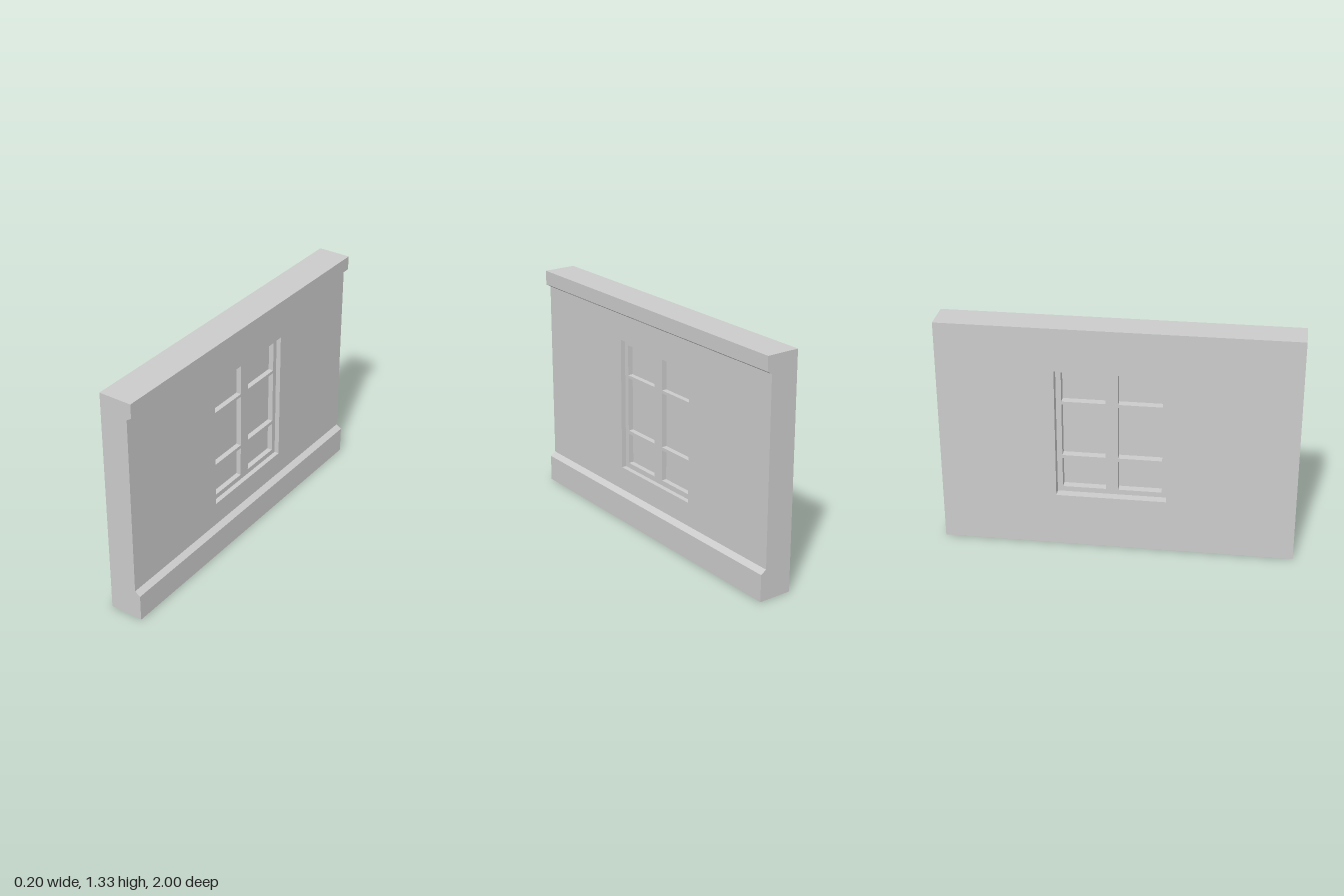
import * as THREE from 'three';

const material = new THREE.MeshStandardMaterial({
  color: 0xcccccc, flatShading: true, side: THREE.DoubleSide,
});

// Wall outline seen from the end
const BACK = -0.098, FACE = 0.066, HALF = 1, TOP = 1.333;
const PLINTH = [[0.098, 0], [0.098, 0.155], [FACE, 0.177]];
const CORNICE = [[FACE, 1.234], [0.094, 1.252], [0.094, TOP], [BACK, TOP]];

// Window rectangles as [z0, z1, y0, y1]
const OPENING = [-0.345, 0.277, 0.315, 1.085];
const INNER = [-0.315, 0.247, 0.345, 1.055];
const MULLION = [-0.07, 0];
const RAILS = [[0.525, 0.545], [0.862, 0.879]];
const FRAME_BACK = -0.045, FRAME_FRONT = 0.038, GLASS = 0.005;

const corners = ([a, b, c, d], s) => [[a, c], [b, c], [b, d], [a, d]].map(([z, y]) => [s * z, y]);
const vectors = (points) => points.map(([x, y]) => new THREE.Vector2(x, y));

// Rectangle with rectangular holes; s = -1 faces +x, s = 1 faces -x after turning
function panelShape(rect, holes, s) {
  const shape = new THREE.Shape(vectors(corners(rect, s)));
  for (const h of holes) shape.holes.push(new THREE.Path(vectors(corners(h, s))));
  return shape;
}

// Open strip of flat walls along a path, swept from z0 to z1
function sweptWalls(path, z0, z1) {
  const pos = [];
  for (let i = 0; i < path.length - 1; i++) {
    const [ax, ay] = path[i], [bx, by] = path[i + 1];
    pos.push(ax, ay, z0, bx, by, z0, bx, by, z1, ax, ay, z0, bx, by, z1, ax, ay, z1);
  }
  const geo = new THREE.BufferGeometry();
  geo.setAttribute('position', new THREE.Float32BufferAttribute(pos, 3));
  geo.computeVertexNormals();
  return geo;
}

export function createModel() {
  const model = new THREE.Group();
  model.name = 'windowWall';
  const add = (name, geometry, parent = model) => {
    const mesh = new THREE.Mesh(geometry, material);
    mesh.name = name;
    parent.add(mesh);
    return mesh;
  };
  const turn = Math.PI / 2;

  // Hollow wall shell, open underneath
  add('frontFace', new THREE.ShapeGeometry(panelShape([-HALF, HALF, PLINTH[2][1], CORNICE[0][1]], [OPENING], -1))
    .rotateY(turn).translate(FACE, 0, 0));
  add('backFace', new THREE.ShapeGeometry(panelShape([-HALF, HALF, 0, TOP], [OPENING], 1))
    .rotateY(-turn).translate(BACK, 0, 0));
  add('plinth', sweptWalls(PLINTH, -HALF, HALF));
  add('corniceAndTop', sweptWalls(CORNICE, -HALF, HALF));

  // Matching end caps
  const end = new THREE.ShapeGeometry(new THREE.Shape(vectors([...PLINTH, ...CORNICE, [BACK, 0]])));
  end.translate(0, 0, HALF);
  add('leftEnd', end);
  add('rightEnd', end).scale.z = -1;

  // Reveal lining the opening, facing inwards
  const loop = corners(OPENING, -1);
  add('windowReveal', sweptWalls([...loop, loop[0]], BACK, FACE).rotateY(turn));

  // Window frame with six panes cut between mullion and rails
  const windowGroup = new THREE.Group();
  windowGroup.name = 'window';
  model.add(windowGroup);
  const columns = [[INNER[0], MULLION[0]], [MULLION[1], INNER[1]]];
  const rows = [[INNER[2], RAILS[0][0]], [RAILS[0][1], RAILS[1][0]], [RAILS[1][1], INNER[3]]];
  const panes = columns.flatMap((c) => rows.map((r) => [...c, ...r]));
  add('windowFrame', new THREE.ExtrudeGeometry(panelShape(OPENING, panes, -1),
    { depth: FRAME_FRONT - FRAME_BACK, bevelEnabled: false })
    .rotateY(turn).translate(FRAME_BACK, 0, 0), windowGroup);

  // Panes
  for (const [z0, z1, y0, y1] of panes) {
    add('pane', new THREE.BoxGeometry(0.006, y1 - y0, z1 - z0)
      .translate(GLASS, (y0 + y1) / 2, (z0 + z1) / 2), windowGroup);
  }
  return model;
}
